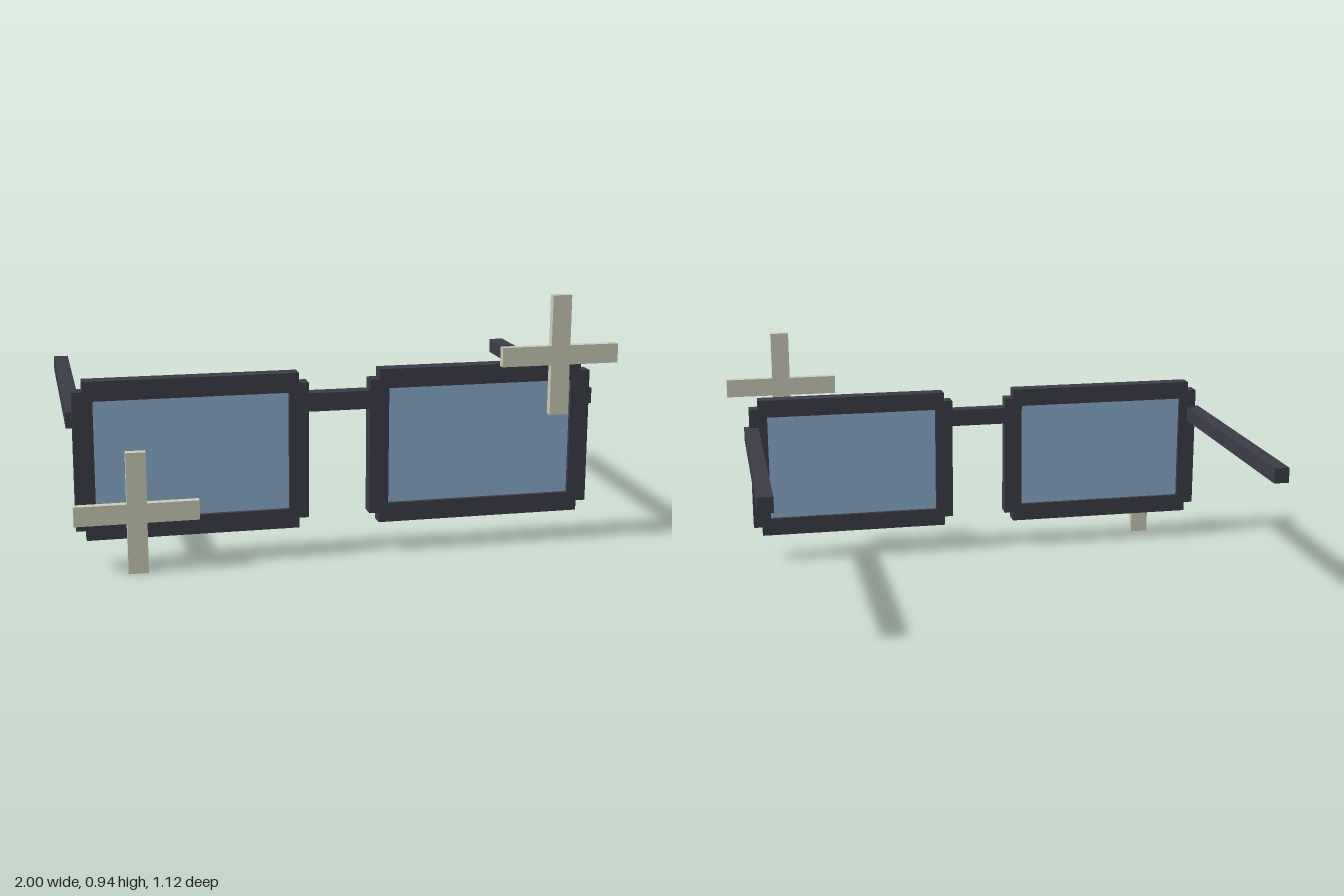
import * as THREE from 'three';

const material = (name, color) => {
  const m = new THREE.MeshStandardMaterial({ color });
  m.name = name;
  return m;
};

export function createModel() {
  const frameMat = material('darkFrame', 0x3c3c48);
  const lensMat = material('blueLens', 0x8bafce);
  const sparkleMat = material('paleSparkle', 0xcccbb8);

  const model = new THREE.Group();
  model.name = 'glasses';

  // Box given by its centre and size
  const box = (parent, name, mat, [x, y, z], [w, h, d]) => {
    const mesh = new THREE.Mesh(new THREE.BoxGeometry(w, h, d), mat);
    mesh.name = name;
    mesh.position.set(x, y, z);
    parent.add(mesh);
  };

  const group = (name, x, y, z) => {
    const g = new THREE.Group();
    g.name = name;
    g.position.set(x, y, z);
    model.add(g);
    return g;
  };

  const centreX = -0.032;
  for (const [side, s] of [['right', -1], ['left', 1]]) {
    // Rim of four bars with stepped corners, around an inset lens
    const rim = group(side + 'Rim', centreX + s * 0.53, 0.402, 0.47);
    for (const k of [-1, 1]) {
      box(rim, 'horizontalBar', frameMat, [0, k * 0.251, 0], [0.764, 0.071, 0.058]);
      box(rim, 'verticalBar', frameMat, [k * 0.382, 0, 0], [0.071, 0.5, 0.058]);
    }
    box(rim, 'lens', lensMat, [0, 0, 0], [0.7, 0.436, 0.028]);

    // Temple arm running back
    box(model, side + 'Temple', frameMat, [centreX + s * 0.941, 0.548, -0.045], [0.057, 0.057, 1.03]);
  }

  // Bridge between the rims
  box(model, 'bridge', frameMat, [centreX, 0.578, 0.47], [0.225, 0.067, 0.056]);

  // Floating cross-shaped sparkles
  for (const [name, x, y] of [['rightSparkle', -0.77, 0.223], ['leftSparkle', 0.777, 0.724]]) {
    const sparkle = group(name, x, y, 0.545);
    box(sparkle, 'horizontalArm', sparkleMat, [0, 0, 0], [0.441, 0.071, 0.028]);
    for (const k of [-1, 1]) {
      box(sparkle, 'verticalArm', sparkleMat, [0, k * 0.128, 0], [0.071, 0.185, 0.028]);
    }
  }

  return model;
}
